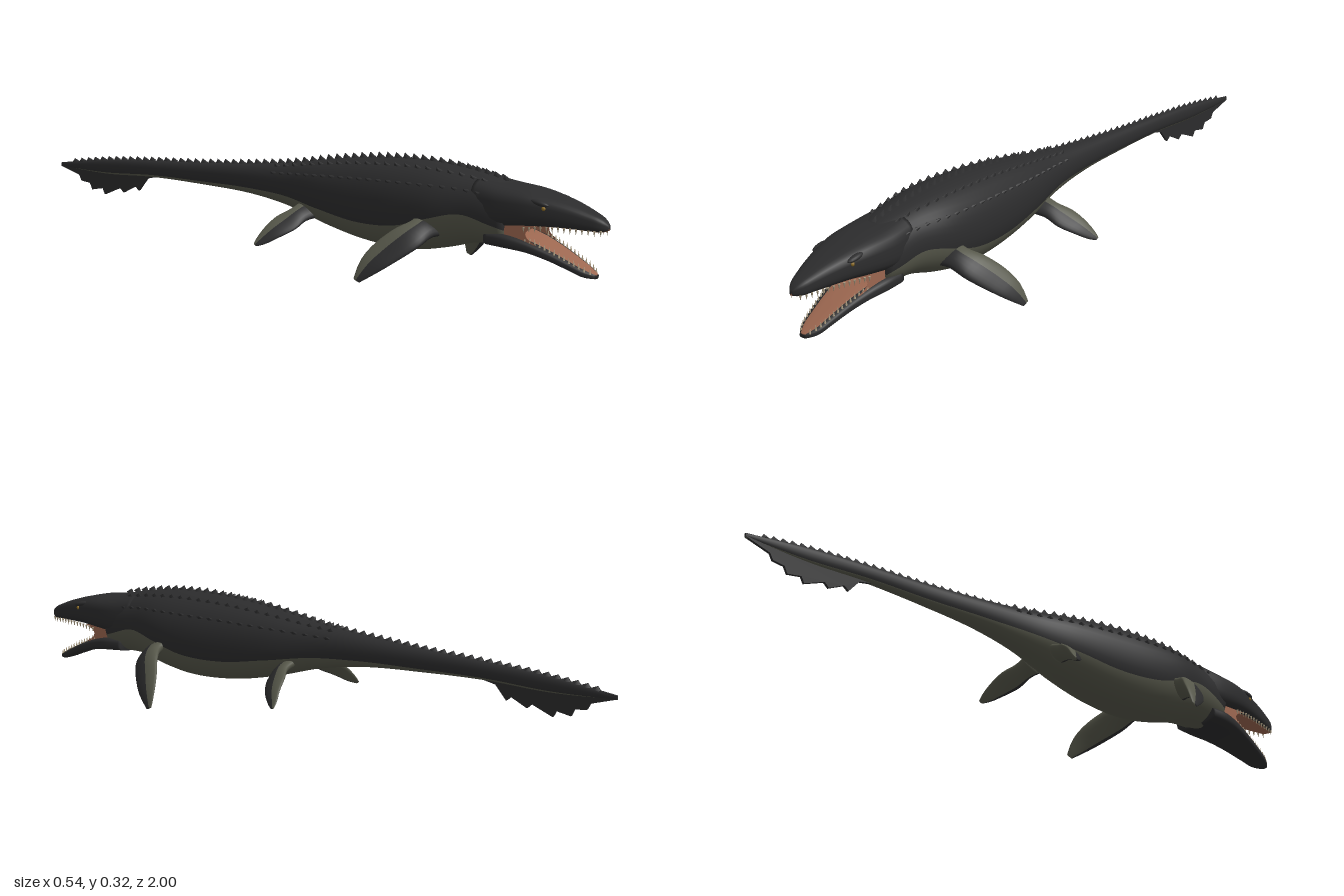
import * as THREE from 'three';
import { mergeGeometries } from 'three/addons/utils/BufferGeometryUtils.js';

const mat = (name, color, side = THREE.FrontSide) => {
  const m = new THREE.MeshStandardMaterial({ color, side });
  m.name = name;
  return m;
};

// Skin over a list of closed rings; matOf(j) picks the material for each strip
function loft(rings, matOf, mats, flip = false) {
  const n = rings[0].length, last = rings.length - 1;
  const pos = rings.flat().flatMap(v => [v.x, v.y, v.z]);
  const faces = mats.map(() => []);
  const tri = (m, a, b, c) => faces[m].push(...(flip ? [a, c, b] : [a, b, c]));
  const centres = [0, last].map(i => {
    const c = new THREE.Vector3();
    rings[i].forEach(v => c.add(v));
    c.divideScalar(n);
    pos.push(c.x, c.y, c.z);
    return pos.length / 3 - 1;
  });
  for (let j = 0; j < n; j++) {
    const k = (j + 1) % n, m = matOf(j);
    for (let i = 0; i < last; i++) {
      const a = i * n + j, b = i * n + k, c = b + n, d = a + n;
      tri(m, a, b, c);
      tri(m, a, c, d);
    }
    tri(m, centres[0], k, j);
    tri(m, centres[1], last * n + j, last * n + k);
  }
  const g = new THREE.BufferGeometry();
  g.setAttribute('position', new THREE.Float32BufferAttribute(pos, 3));
  g.setIndex(faces.flat());
  let start = 0;
  faces.forEach((f, m) => { g.addGroup(start, f.length, m); start += f.length; });
  g.computeVertexNormals();
  return new THREE.Mesh(g, mats);
}

// Smooth sampler over rows of [z, top, bottom, halfWidth, colourLine 0..1]
function sampler(rows) {
  const it = new THREE.CubicInterpolant(
    new Float32Array(rows.map(r => r[0])), new Float32Array(rows.flatMap(r => r.slice(1))), 4);
  return z => Array.from(it.evaluate(z));
}

// Point on a super-ellipse section
const sp = (v, e) => Math.sign(v) * Math.abs(v) ** e;
function sectionPoint([top, bot, w], z, a, e) {
  return new THREE.Vector3(w * sp(Math.cos(a), e), (top + bot) / 2 + (top - bot) / 2 * sp(Math.sin(a), e), z);
}

// Lengthwise form with one colour above the colour line and one below
function longForm(rows, e, steps, mats, up = 22, low = 18) {
  const at = sampler(rows), z0 = rows[0][0], z1 = rows[rows.length - 1][0], rings = [];
  for (let i = 0; i <= steps; i++) {
    const z = z0 + (z1 - z0) * i / steps, s = at(z), ring = [];
    const b = Math.asin(sp(2 * s[3] - 1, 1 / e));
    for (let j = 0; j < up; j++) ring.push(sectionPoint(s, z, b + (Math.PI - 2 * b) * j / up, e));
    for (let j = 0; j < low; j++) ring.push(sectionPoint(s, z, Math.PI - b + (Math.PI + 2 * b) * j / low, e));
    rings.push(ring);
  }
  return loft(rings, j => (j < up ? 0 : 1), mats);
}

const BODY = [
  [-1, .185, .172, .004, .1], [-.8, .21, .165, .012, .12], [-.6, .224, .172, .018, .15],
  [-.4, .234, .168, .025, .18], [-.2, .249, .158, .04, .24], [-.05, .264, .135, .058, .3],
  [.1, .287, .095, .09, .3], [.25, .304, .066, .11, .28], [.4, .31, .06, .12, .32],
  [.5, .306, .076, .116, .4], [.6, .293, .1, .097, .45], [.68, .277, .102, .086, .36], [.72, .262, .106, .076, .3],
];
const SKULL = [
  [.62, .284, .15, .082, .05], [.7, .272, .155, .088, .05], [.78, .263, .163, .081, .05],
  [.84, .251, .168, .067, .05], [.9, .235, .168, .05, .05], [.95, .217, .167, .034, .05],
  [.985, .201, .167, .02, .05], [1, .188, .172, .007, .05],
];
const JAW = [
  [.66, .15, .104, .078, .94], [.72, .148, .1, .08, .94], [.78, .134, .094, .07, .94], [.84, .112, .079, .056, .94],
  [.9, .085, .058, .042, .94], [.94, .066, .043, .03, .94], [.965, .054, .041, .012, .94],
];
// Flippers: [x, y, leading z, trailing z, half thickness]
const FORE = [
  [.08, .145, .53, .44, .026], [.12, .14, .525, .455, .022], [.17, .118, .515, .43, .018],
  [.22, .075, .47, .392, .012], [.25, .04, .43, .376, .009], [.268, .008, .392, .372, .004],
];
const HIND = [
  [.05, .14, .075, .01, .02], [.09, .13, .066, .01, .016], [.13, .11, .058, -.01, .012],
  [.17, .085, .03, -.022, .009], [.195, .062, 0, -.03, .006], [.207, .052, -.018, -.03, .003],
];

function flipper(rows, side, mats) {
  const N = 20;
  const curve = sampler(rows), rings = [], x0 = rows[0][0], x1 = rows[rows.length - 1][0];
  for (let i = 0; i <= 16; i++) {
    const x = x0 + (x1 - x0) * i / 16, [y, lead, trail, h] = curve(x), ring = [];
    for (let j = 0; j < N; j++) {
      const t = j / N * Math.PI * 2, dz = (lead - trail) / 2 * Math.sin(t), n = h * Math.cos(t);
      ring.push(new THREE.Vector3(side * (x + n * .4), y + n * .85 - dz * .4, (lead + trail) / 2 + dz));
    }
    rings.push(ring);
  }
  return loft(rings, j => (j < N * .4 ? 0 : 1), mats, side < 0);
}

export function createModel() {
  const model = new THREE.Group();
  const skin = mat('dark skin', 0x2c2c2d), belly = mat('olive belly', 0x56574a);
  const mouth = mat('mouth flesh', 0x9c6750, THREE.DoubleSide), throatMat = mat('deep throat', 0x4a2f26);
  const ivory = mat('ivory teeth', 0xa89a80), amber = mat('amber eye', 0x8a6a24);
  const add = (name, mesh) => { mesh.name = name; model.add(mesh); return mesh; };

  add('body', longForm(BODY, .92, 90, [skin, belly]));
  add('skull', longForm(SKULL, .65, 36, [skin, mouth]));
  add('lowerJaw', longForm(JAW, .65, 30, [mouth, skin]));

  // Back of the mouth
  const back = add('mouthBack', new THREE.Mesh(new THREE.CircleGeometry(1, 28), mouth));
  back.scale.set(.066, .04, 1);
  back.position.set(0, .148, .724);
  const throat = add('throat', new THREE.Mesh(new THREE.CircleGeometry(1, 24), throatMat));
  throat.scale.set(.034, .016, 1);
  throat.position.set(0, .15, .728);

  // Tail fin with a ragged lower edge
  const fin = new THREE.Shape([
    [-.58, .175], [-.63, .165], [-.665, .125], [-.68, .137], [-.73, .113], [-.745, .126], [-.81, .1], [-.82, .118],
    [-.865, .11], [-.875, .13], [-.912, .134], [-.922, .152], [-1, .174], [-1, .184], [-.8, .205], [-.6, .205],
  ].map(p => new THREE.Vector2(...p)));
  const finGeo = new THREE.ExtrudeGeometry(fin, { depth: .008, bevelEnabled: false });
  finGeo.translate(0, 0, -.004).rotateY(-Math.PI / 2);
  add('tailFin', new THREE.Mesh(finGeo, skin));

  // Crest along the spine and smaller scute rows on the flanks
  const bodyAt = sampler(BODY), scutes = [];
  const scute = (z, angle, h, len) => {
    const p = sectionPoint(bodyAt(z), z, angle, .92);
    const g = new THREE.ConeGeometry(1, 1, 5);
    g.translate(0, .3, 0).scale(len * .4, h, len).rotateX(-.3).rotateZ(angle - Math.PI / 2);
    scutes.push(g.translate(p.x, p.y, p.z));
  };
  for (let z = .68; z > -.97; z -= .03) scute(z, Math.PI / 2, .02 - .006 * Math.abs(z - .3), .017);
  for (const [deg, h] of [[62, .013], [33, .011]])
    for (let z = .64; z > -.1; z -= .035)
      for (const a of [deg, 180 - deg]) scute(z, a * Math.PI / 180, h, .014);
  add('scutes', new THREE.Mesh(mergeGeometries(scutes), skin));

  // Teeth along both jaws
  const teeth = [], skullAt = sampler(SKULL), jawAt = sampler(JAW);
  for (const side of [-1, 1]) {
    for (let i = 0; i < 14; i++) {
      const zu = .78 + .205 * i / 13, zl = .78 + .175 * i / 13, u = skullAt(zu), l = jawAt(zl);
      teeth.push(new THREE.ConeGeometry(.0035, .016, 6).rotateX(Math.PI).translate(side * u[2] * .82, u[1] - .003, zu));
      teeth.push(new THREE.ConeGeometry(.0035, .016, 6).translate(side * l[2] * .82, l[0] + .003, zl));
    }
  }
  add('teeth', new THREE.Mesh(mergeGeometries(teeth), ivory));

  const cheek = new THREE.Shape();
  cheek.moveTo(.69, .18);
  cheek.lineTo(.82, .172);
  cheek.quadraticCurveTo(.745, .15, .815, .12);
  cheek.lineTo(.69, .12);
  for (const side of [-1, 1]) {
    const label = side > 0 ? 'left' : 'right';
    add(label + 'ForeFlipper', flipper(FORE, side, [skin, belly]));
    add(label + 'HindFlipper', flipper(HIND, side, [skin, belly]));

    // Stretched skin at the corner of the mouth
    const g = new THREE.ShapeGeometry(cheek).rotateY(-Math.PI / 2);
    const p = g.attributes.position;
    for (let i = 0; i < p.count; i++) p.setX(i, side * (.07 - (p.getZ(i) - .69) * .12));
    g.computeVertexNormals();
    add(label + 'Cheek', new THREE.Mesh(g, mouth));

    // Eye under a heavy brow
    const eye = add(label + 'Eye', new THREE.Mesh(new THREE.SphereGeometry(.006, 14, 10), amber));
    eye.position.set(side * .064, .222, .84);
    const brow = add(label + 'Brow', new THREE.Mesh(new THREE.SphereGeometry(1, 16, 10), skin));
    brow.scale.set(.012, .008, .03);
    brow.position.set(side * .061, .236, .825);
    brow.rotation.x = .2;
  }
  return model;
}
